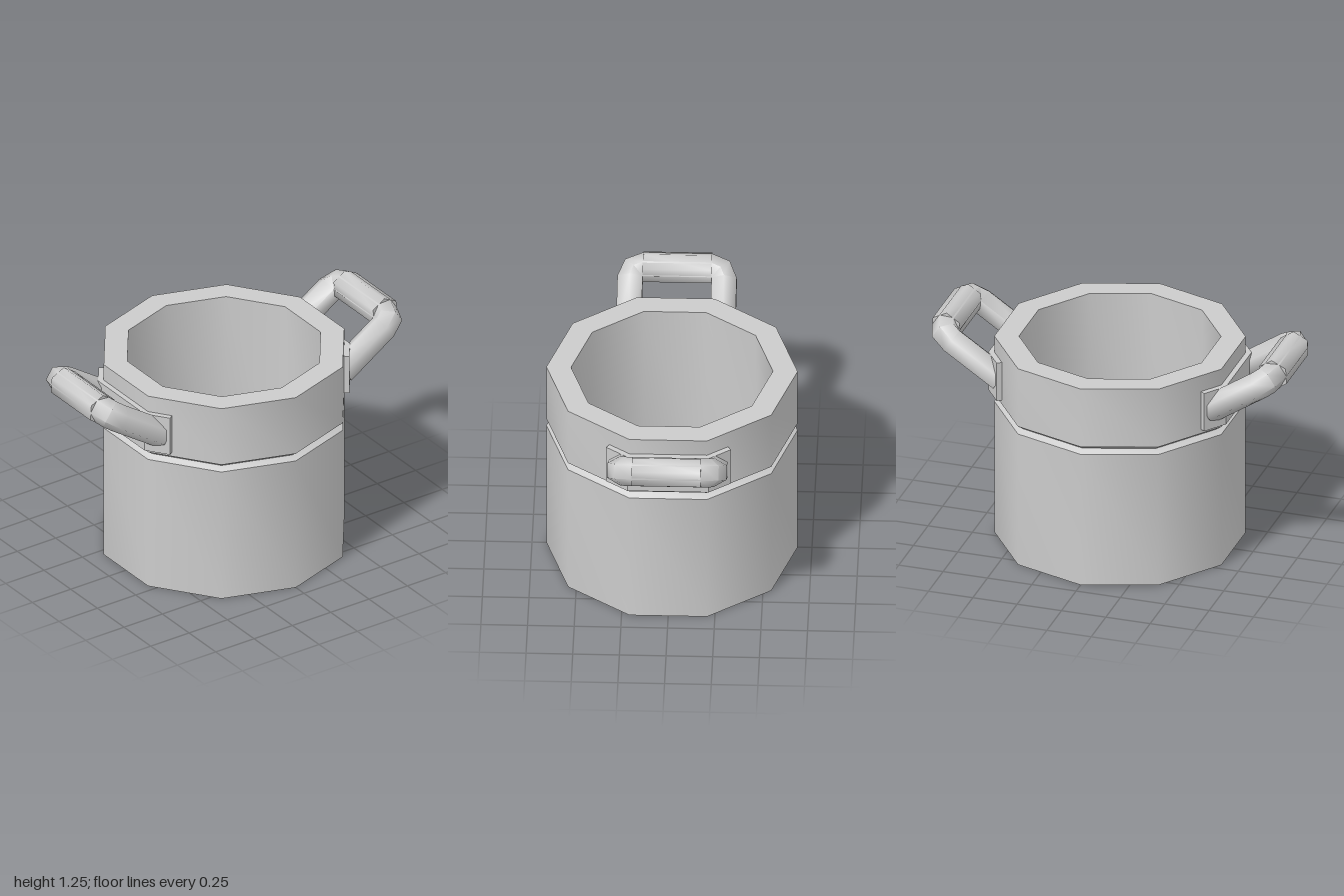
import * as THREE from 'three';
import { toCreasedNormals } from 'three/addons/utils/BufferGeometryUtils.js';

const material = new THREE.MeshStandardMaterial({ color: 0xcccccc });

function part(name, geometry, crease) {
  const mesh = new THREE.Mesh(toCreasedNormals(geometry, crease), material);
  mesh.name = name;
  return mesh;
}

// Ten-sided hollow pot with a V groove below the rim band
function potBody() {
  const profile = [
    [0, 0], [0.673, 0], [0.673, 0.78], [0.637, 0.8], [0.673, 0.825],
    [0.673, 1.17], [0.541, 1.17], [0.541, 0.13], [0, 0.13],
  ].map(([r, y]) => new THREE.Vector2(r, y));
  return part('potBody', new THREE.LatheGeometry(profile, 10), 0.8);
}

// Mounting plate folded around three faces of the pot
function handlePlate() {
  const half = [[0.67, 0.218], [0.585, 0.335], [0.557, 0.314], [0.635, 0.206]];
  const mirrored = half.map(([x, z]) => [x, -z]).reverse();
  const shape = new THREE.Shape([...half, ...mirrored].map(([x, z]) => new THREE.Vector2(x, z)));
  const geometry = new THREE.ExtrudeGeometry(shape, { depth: 0.225, bevelEnabled: false });
  geometry.rotateX(-Math.PI / 2).translate(0, 0.85, 0);
  return part('handlePlate', geometry, 0.5);
}

// Six-sided U tube: leg, bent elbow, hidden core, elbow, leg
function handleFrame() {
  const sides = 6, radius = 0.078, bend = 0.067, reach = 0.185;
  const rings = [[-0.4, reach + bend, 0]];
  for (let i = 0; i <= 4; i++) {
    const a = (i * Math.PI) / 4;
    const centre = i <= 2 ? reach : -reach;
    rings.push([-bend + bend * Math.sin(a), centre + bend * Math.cos(a), a]);
    if (i === 2) rings.push([0, -reach, a]);
  }
  rings.push([-0.4, -reach - bend, Math.PI]);

  const positions = [], index = [];
  rings.forEach(([x, z, a], j) => {
    for (let k = 0; k < sides; k++) {
      const t = Math.PI / 6 + (k * 2 * Math.PI) / sides;
      const out = radius * Math.cos(t);
      positions.push(x + out * Math.sin(a), radius * Math.sin(t), z + out * Math.cos(a));
      if (j === rings.length - 1) continue;
      const p = j * sides + k, q = j * sides + ((k + 1) % sides);
      index.push(p, p + sides, q, q, p + sides, q + sides);
    }
  });
  // End caps
  const last = (rings.length - 1) * sides;
  for (let k = 1; k < sides - 1; k++) {
    index.push(0, k, k + 1, last, last + k + 1, last + k);
  }
  const geometry = new THREE.BufferGeometry();
  geometry.setAttribute('position', new THREE.Float32BufferAttribute(positions, 3));
  geometry.setIndex(index);
  return part('handleFrame', geometry, 1.1);
}

// Thicker six-sided grip across the end of the handle
function handleGrip() {
  const geometry = new THREE.CylinderGeometry(0.087, 0.087, 0.37, 6);
  geometry.rotateY(Math.PI / 6).rotateX(Math.PI / 2);
  return part('handleGrip', geometry, 1.1);
}

function handleAssembly(name, turn) {
  const side = new THREE.Group();
  side.name = name;
  const handle = new THREE.Group();
  handle.name = 'handle';
  handle.add(handleFrame(), handleGrip());
  handle.position.set(0.922, 1.166, 0);
  handle.rotation.z = THREE.MathUtils.degToRad(33.5);
  side.add(handlePlate(), handle);
  side.rotation.y = turn;
  return side;
}

export function createModel() {
  const model = new THREE.Group();
  model.name = 'cookingPot';
  model.add(potBody(), handleAssembly('leftHandle', 0), handleAssembly('rightHandle', Math.PI));
  return model;
}
